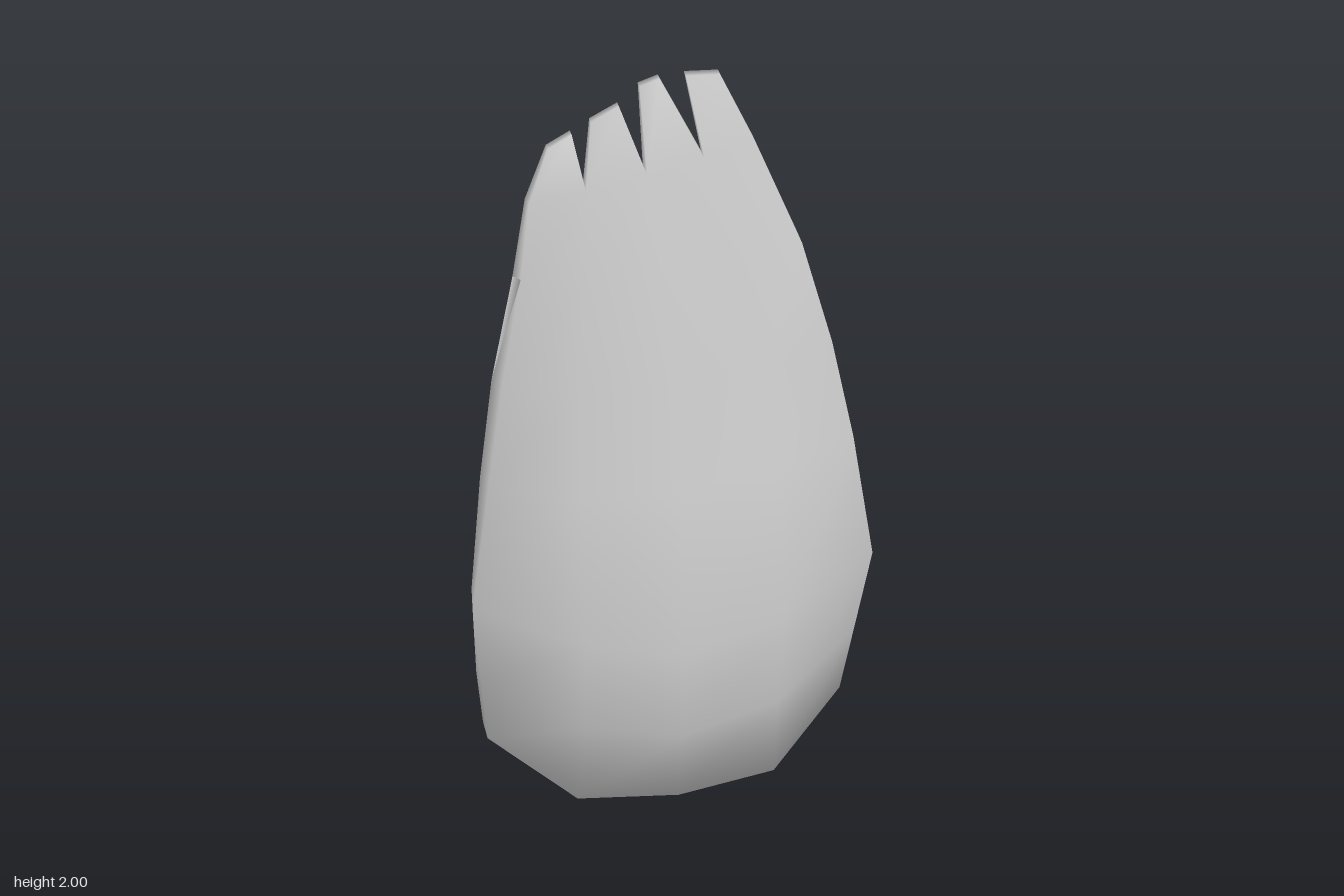
import * as THREE from 'three';

// Cross rows from heel to finger roots; five columns from -x to +x
const FRONT = [
  { x: [-0.45, -0.25, 0, 0.24, 0.43], y: [0.18, 0.035, 0.01, 0.035, 0.18], z: [-0.06, 0.04, 0.05, 0.04, -0.06] },
  { x: [-0.471, -0.25, 0, 0.24, 0.46], y: [0.36, 0.27, 0.22, 0.27, 0.36], z: [-0.038, 0.085, 0.1, 0.085, -0.038] },
  { x: [-0.5, -0.255, -0.01, 0.24, 0.5], y: [0.6, 0.55, 0.5, 0.55, 0.6], z: [-0.01, 0.14, 0.165, 0.14, -0.01] },
  { x: [-0.45, -0.25, 0, 0.25, 0.46], y: [0.93, 0.93, 0.93, 0.93, 0.93], z: [-0.05, 0.055, 0.085, 0.055, -0.04] },
  { x: [-0.41, -0.24, 0, 0.23, 0.41], y: [1.21, 1.21, 1.21, 1.21, 1.21], z: [-0.072, 0.005, 0.035, 0.008, -0.052] },
  { x: [-0.36, -0.205, -0.02, 0.18, 0.34], y: [1.5, 1.5, 1.5, 1.5, 1.5], z: [-0.088, -0.04, -0.025, -0.042, -0.072] },
  { x: [-0.335, -0.195, -0.045, 0.1, 0.23], y: [1.71, 1.73, 1.76, 1.78, 1.8], z: [-0.105, -0.095, -0.085, -0.09, -0.105] },
];
// The back is slightly hollow above the heel
const BACK = [
  { x: [-0.44, -0.255, 0, 0.24, 0.43], y: [0.17, 0.03, 0, 0.03, 0.17], z: [-0.145, -0.14, -0.14, -0.14, -0.145] },
  { x: [-0.46, -0.26, 0, 0.24, 0.46], y: [0.33, 0.17, 0.16, 0.17, 0.33], z: [-0.132, -0.165, -0.165, -0.165, -0.14] },
  { x: [-0.48, -0.26, 0, 0.245, 0.5], y: [0.6, 0.57, 0.55, 0.57, 0.6], z: [-0.1, -0.113, -0.113, -0.113, -0.138] },
  { x: [-0.46, -0.25, 0, 0.25, 0.46], y: [0.93, 0.93, 0.93, 0.93, 0.93], z: [-0.095, -0.1, -0.1, -0.102, -0.135] },
  { x: [-0.43, -0.23, 0, 0.23, 0.41], y: [1.21, 1.21, 1.21, 1.21, 1.21], z: [-0.1, -0.1, -0.1, -0.102, -0.133] },
  { x: [-0.375, -0.21, -0.02, 0.18, 0.34], y: [1.5, 1.5, 1.5, 1.5, 1.5], z: [-0.11, -0.112, -0.112, -0.113, -0.131] },
  { x: [-0.34, -0.195, -0.045, 0.1, 0.23], y: [1.71, 1.73, 1.76, 1.78, 1.8], z: [-0.128, -0.127, -0.127, -0.127, -0.13] },
];
// Finger tips: left corner, right corner, front z, back z
const TIPS = [
  { l: [-0.28, 1.84], r: [-0.22, 1.872], f: -0.137, b: -0.157 },
  { l: [-0.175, 1.91], r: [-0.105, 1.945], f: -0.125, b: -0.143 },
  { l: [-0.05, 1.985], r: [0, 2], f: -0.138, b: -0.157 },
  { l: [0.065, 2], r: [0.15, 1.99], f: -0.134, b: -0.155 },
];

const points = (rows) => rows.map((r) => r.x.map((x, j) => new THREE.Vector3(x, r.y[j], r.z[j])));

// Quads between neighbouring rows of points
function gridQuads(grid) {
  const quads = [];
  for (let i = 0; i + 1 < grid.length; i++) {
    for (let j = 0; j + 1 < grid[i].length; j++) {
      quads.push([grid[i][j], grid[i][j + 1], grid[i + 1][j + 1], grid[i + 1][j]]);
    }
  }
  return quads;
}

const triangles = (quads) => quads.flatMap(([a, b, c, d]) => [[a, b, c], [a, c, d]]);

// Normals averaged over all parts, so the skin is smooth across their seams
function sharedNormals(tris) {
  const normals = new Map();
  for (const [a, b, c] of tris) {
    const n = b.clone().sub(a).cross(c.clone().sub(a));
    for (const p of [a, b, c]) {
      if (!normals.has(p)) normals.set(p, new THREE.Vector3());
      normals.get(p).add(n);
    }
  }
  normals.forEach((n) => n.normalize());
  return normals;
}

export function createModel() {
  const group = new THREE.Group();
  group.name = 'paddleHand';
  const grey = new THREE.MeshStandardMaterial({ color: 0xcccccc });
  grey.name = 'light grey';

  const front = points(FRONT), back = points(BACK);
  const rootF = front[front.length - 1], rootB = back[back.length - 1];

  // Back wraps around both side strips
  const wrap = back.map((row, i) => [front[i][4], ...row.slice().reverse(), front[i][0]]);

  const parts = {
    palm: gridQuads(front),
    backAndSides: gridQuads(wrap),
    heelBase: gridQuads([back[0], front[0]]),
  };

  // Four short tapered fingers: front, back and the thin rim around each
  TIPS.forEach(({ l, r, f, b }, j) => {
    const corner = (p, z) => new THREE.Vector3(p[0], p[1], z);
    const F = [rootF[j], corner(l, f), corner(r, f), rootF[j + 1]];
    const B = [rootB[j], corner(l, b), corner(r, b), rootB[j + 1]];
    const quads = [[F[0], F[3], F[2], F[1]], B];
    for (let k = 0; k < 3; k++) quads.push([F[k], F[k + 1], B[k + 1], B[k]]);
    parts[`finger${j + 1}`] = quads;
  });

  const normals = sharedNormals(triangles(Object.values(parts).flat()));
  for (const [name, quads] of Object.entries(parts)) {
    const corners = triangles(quads).flat();
    const geometry = new THREE.BufferGeometry().setFromPoints(corners);
    const normalValues = corners.flatMap((p) => normals.get(p).toArray());
    geometry.setAttribute('normal', new THREE.Float32BufferAttribute(normalValues, 3));
    const mesh = new THREE.Mesh(geometry, grey);
    mesh.name = name;
    group.add(mesh);
  }
  return group;
}
